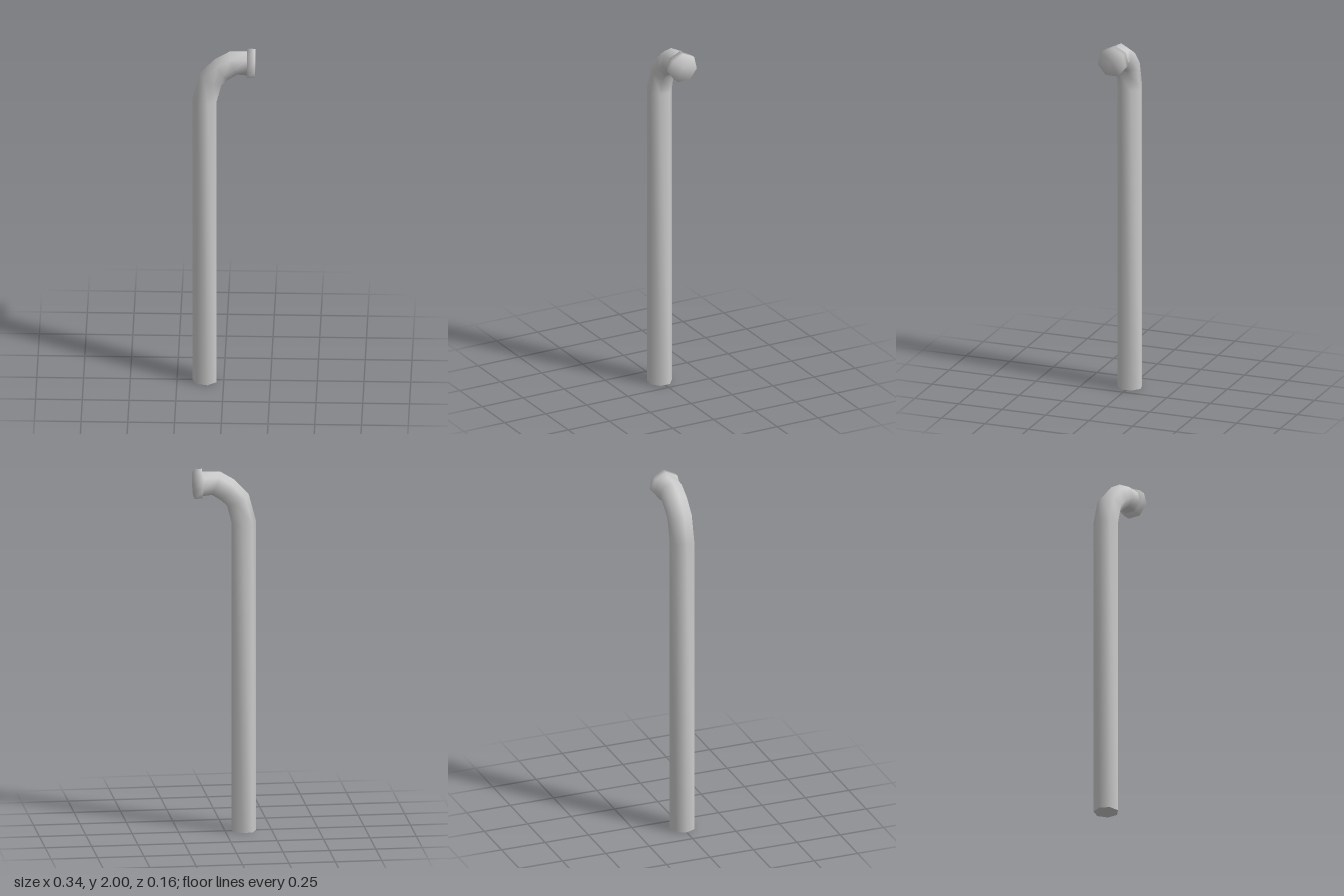
import * as THREE from 'three';

const SIDES = 7;
const material = new THREE.MeshStandardMaterial({ color: 0xcccccc });

// Skin seven-sided rings; each is [centre x, centre y, tilt from upright in degrees, radius]
function loft(name, rings) {
  const positions = [], index = [];
  rings.forEach(([x, y, tilt, r], i) => {
    const t = THREE.MathUtils.degToRad(tilt);
    for (let j = 0; j < SIDES; j++) {
      const a = (j / SIDES) * Math.PI * 2;
      const out = r * Math.cos(a);
      positions.push(x - out * Math.cos(t), y + out * Math.sin(t), r * Math.sin(a));
      if (i === rings.length - 1) continue;
      const p = i * SIDES + j, q = i * SIDES + (j + 1) % SIDES;
      index.push(p, q, p + SIDES, q, q + SIDES, p + SIDES);
    }
  });
  const geometry = new THREE.BufferGeometry();
  geometry.setAttribute('position', new THREE.Float32BufferAttribute(positions, 3));
  geometry.setIndex(index);
  geometry.computeVertexNormals();
  const mesh = new THREE.Mesh(geometry, material);
  mesh.name = name;
  return mesh;
}

export function createModel() {
  const group = new THREE.Group();
  group.name = 'bentPipe';
  const r = 0.068;

  // Upright pipe bending over towards +x
  group.add(loft('pipe', [
    [-0.1, 0, 0, r],
    [-0.1, 1.697, 4, r],
    [-0.067, 1.822, 26, r],
    [-0.011, 1.88, 54, r],
    [0.052, 1.919, 70, r],
    [0.128, 1.917, 90, r],
  ]));

  // Flat underside of the pipe
  const base = new THREE.Mesh(new THREE.CircleGeometry(r, SIDES, Math.PI), material);
  base.rotation.x = Math.PI / 2;
  base.position.set(-0.1, 0, 0);
  base.name = 'pipeBase';
  group.add(base);

  // Wider closed collar on the end of the pipe
  group.add(loft('endCap', [
    [0.125, 1.918, 90, 0],
    [0.125, 1.918, 90, 0.082],
    [0.168, 1.918, 90, 0.082],
    [0.168, 1.918, 90, 0],
  ]));

  return group;
}
